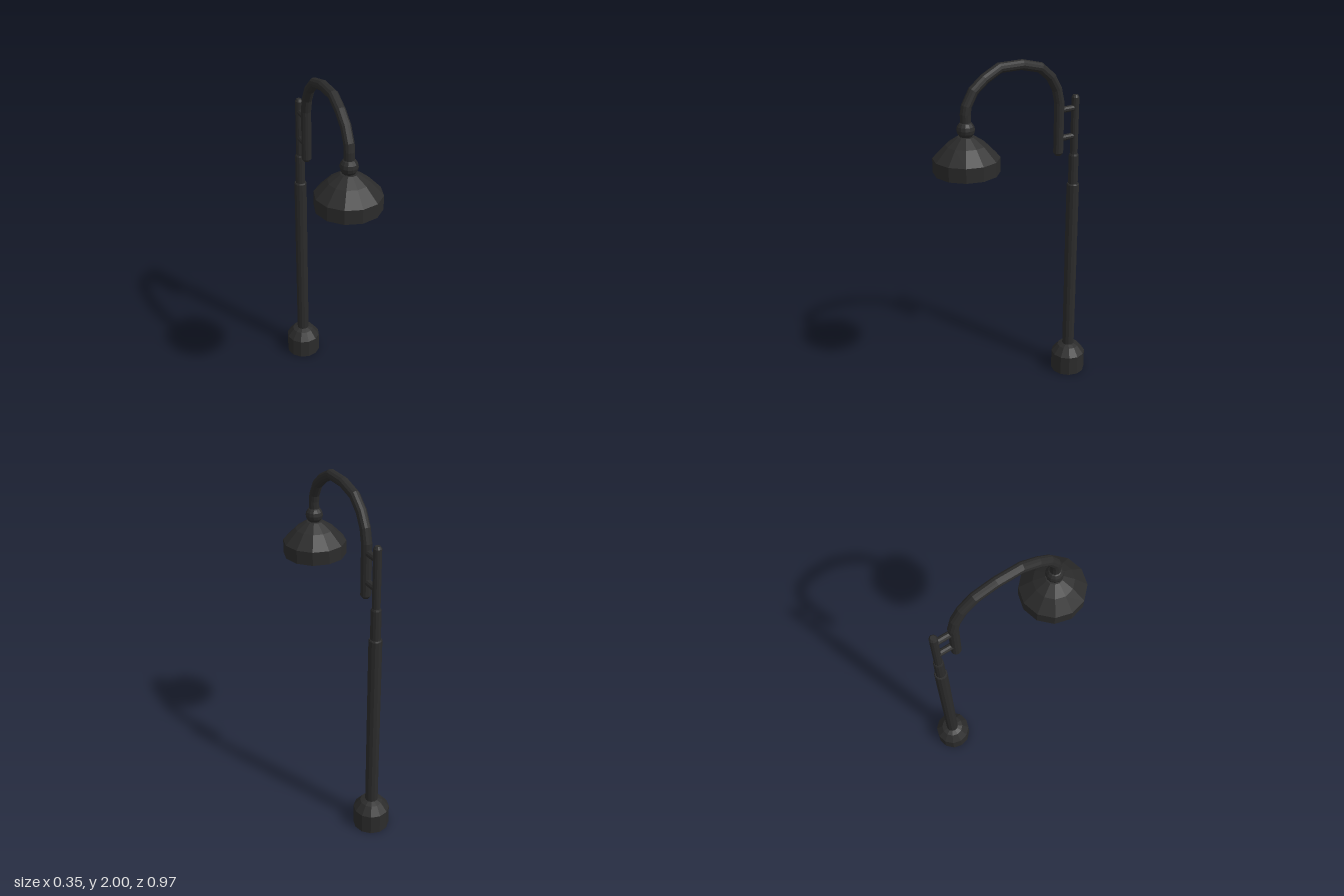
import * as THREE from 'three';

const iron = new THREE.MeshStandardMaterial({ color: 0x2b2b2b, flatShading: true, side: THREE.DoubleSide });
const glow = new THREE.MeshStandardMaterial({ color: 0xe6da5c });

const POST_Z = -0.381, LAMP_Z = 0.31, ARM_Z = -0.273;

// Tube path through given points, one ring per point, with mitred bends
class Polyline extends THREE.Curve {
  constructor(points) { super(); this.points = points; }
  getPoint(t, target = new THREE.Vector3()) {
    const last = this.points.length - 1;
    const i = Math.min(Math.floor(t * last + 1e-6), last - 1);
    return target.lerpVectors(this.points[i], this.points[i + 1], t * last - i);
  }
  getPointAt(t, target) { return this.getPoint(t, target); }
  getTangentAt(t, target = new THREE.Vector3()) {
    const p = this.points, last = p.length - 1, i = Math.round(t * last);
    const before = p[i].clone().sub(p[Math.max(i - 1, 0)]).normalize();
    const after = p[Math.min(i + 1, last)].clone().sub(p[i]).normalize();
    return target.copy(before.add(after)).normalize();
  }
}

export function createModel() {
  const model = new THREE.Group();
  model.name = 'streetLamp';

  const add = (name, geometry, x, y, z, material = iron) => {
    const mesh = new THREE.Mesh(geometry, material);
    mesh.name = name;
    mesh.position.set(x, y, z);
    model.add(mesh);
    return mesh;
  };
  // Turned part from [radius, height] pairs, listed bottom to top
  const turned = (name, profile, z, sides = 12) =>
    add(name, new THREE.LatheGeometry(profile.map(([r, y]) => new THREE.Vector2(r, y)), sides), 0, 0, z);

  // Base and stepped post
  turned('base', [[0, 0], [0.103, 0], [0.103, 0.12], [0.065, 0.168], [0.03, 0.182], [0, 0.182]], POST_Z);
  turned('lowerPost', [[0.036, 0.17], [0.036, 1.24], [0.032, 1.247], [0, 1.247]], POST_Z);
  turned('middlePost', [[0.028, 1.24], [0.028, 1.415], [0.024, 1.425], [0, 1.425]], POST_Z);
  turned('upperPost', [[0.022, 1.42], [0.022, 1.75], [0.014, 1.763], [0, 1.763]], POST_Z);

  // Braces between the post and the arm
  for (const y of [1.53, 1.69]) {
    const length = ARM_Z - POST_Z;
    add('brace', new THREE.CylinderGeometry(0.018, 0.018, length, 10), 0, y, (ARM_Z + POST_Z) / 2)
      .rotation.x = Math.PI / 2;
  }

  // Curved arm, as [z, y] points from the post to the lamp
  const path = [
    [ARM_Z, 1.45], [ARM_Z, 1.735], [-0.256, 1.81], [-0.215, 1.882], [-0.145, 1.942], [-0.03, 1.971],
    [0.105, 1.971], [0.195, 1.925], [0.262, 1.872], [0.303, 1.80], [LAMP_Z, 1.76], [LAMP_Z, 1.67],
  ].map(([z, y]) => new THREE.Vector3(0, y, z));
  add('arm', new THREE.TubeGeometry(new Polyline(path), path.length - 1, 0.028, 12), 0, 0, 0);
  turned('armTip', [[0, 1.432], [0.016, 1.434], [0.028, 1.45]], ARM_Z);

  // Lamp head: ball joint, hollow shade and bulb
  add('ballJoint', new THREE.SphereGeometry(0.048, 12, 8), 0, 1.68, LAMP_Z);
  turned('shade', [
    [0, 1.628], [0.04, 1.628], [0.1, 1.588], [0.165, 1.525], [0.167, 1.452],
    [0.177, 1.452], [0.177, 1.53], [0.107, 1.602], [0.045, 1.644], [0, 1.646],
  ], LAMP_Z);
  add('bulb', new THREE.SphereGeometry(0.063, 16, 12), 0, 1.482, LAMP_Z, glow);
  turned('bulbSocket', [[0.03, 1.53], [0.03, 1.632]], LAMP_Z);

  return model;
}
